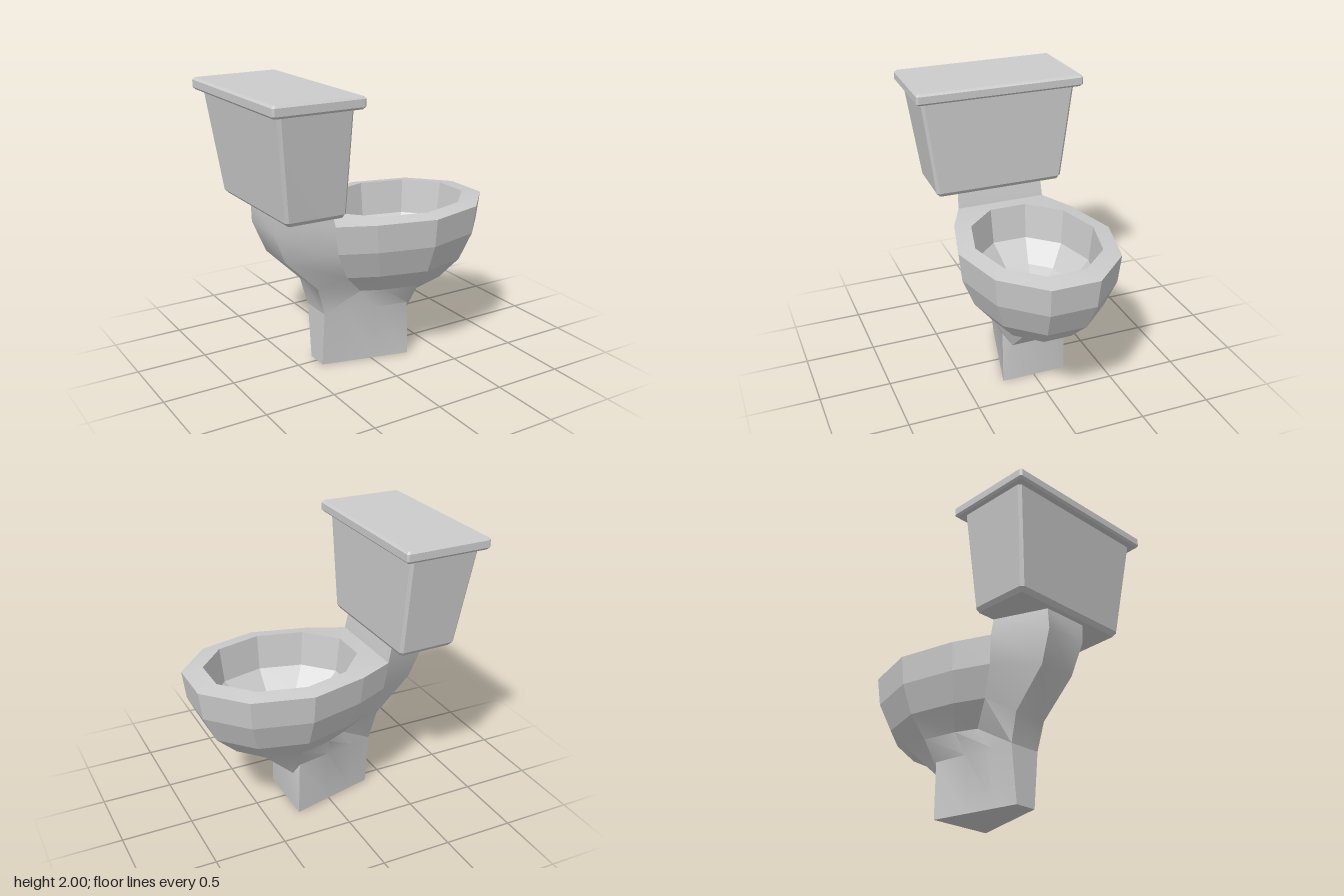
import * as THREE from 'three';
import { toCreasedNormals } from 'three/addons/utils/BufferGeometryUtils.js';

// Skin closed rings of points (rings go upward, points run from +x towards +z).
function skin(rings, crease = 0.15) {
  const pos = [];
  const v = (p) => new THREE.Vector3(...p);
  const tri = (a, b, c) => {
    const area = v(b).sub(v(a)).cross(v(c).sub(v(a))).length();
    if (area > 1e-7) pos.push(...a, ...b, ...c);
  };
  for (let i = 0; i < rings.length - 1; i++) {
    const n = rings[i].length;
    for (let j = 0; j < n; j++) {
      const k = (j + 1) % n;
      const a = rings[i][j], b = rings[i][k], c = rings[i + 1][k], d = rings[i + 1][j];
      tri(a, d, c);
      tri(a, c, b);
    }
  }
  const g = new THREE.BufferGeometry();
  g.setAttribute('position', new THREE.Float32BufferAttribute(pos, 3));
  return toCreasedNormals(g, crease);
}

const mirrorZ = (half) => [...half, ...half.map(([x, y, z]) => [x, y, -z]).reverse()];
const collapse = (ring, p) => ring.map(() => p);

// Ten-sided oval; the two rear corners are spread to meet the neck.
const CX = 0.285, RX = 0.694, RZ = 0.545;
function bowlPoint(j, y, f, spread = 1) {
  const a = THREE.MathUtils.degToRad(18 + 36 * j);
  const wide = j === 4 || j === 5 ? spread : 1;
  return [CX + RX * f * Math.cos(a), y, RZ * f * Math.sin(a) * wide];
}
const bowlRing = (y, f, spread) =>
  Array.from({ length: 10 }, (_, j) => bowlPoint(j, y, f, spread));

const REAR = 1.93;
const OUTER = [[0.55, 0.59], [0.7, 0.818], [0.9, 0.962], [1.1, 1]];
const INNER = [[1.12, 0.785], [0.87, 0.735], [0.73, 0.51], [0.66, 0.27], [0.64, 0]];

function bowlGeometry() {
  // lowest ring sweeps up towards the front
  const lift = { 0: 0.45, 9: 0.45, 1: 0.44, 8: 0.44 };
  const low = bowlRing(0.3, 0.31).map(([x, y, z], j) => [x, lift[j] ?? y, z]);
  return skin([
    collapse(low, [CX, 0.3, 0]),
    low,
    ...OUTER.map(([y, f]) => bowlRing(y, f, REAR)),
    ...INNER.map(([y, f]) => bowlRing(y, f)),
  ]);
}

// Foot: wedge-shaped block that flares into the underside of the bowl.
function footGeometry() {
  const tip = [CX, 0.3, 0.17];
  const edge = (front, back) => [0, 0.4, 0.75, 1].map((t) =>
    front.map((c, i) => c + (back[i] - c) * t));
  const bottom = edge([0.27, 0, 0.235], [-0.35, 0, 0.08]);
  const waist = edge([0.26, 0.4, 0.235], [-0.35, 0.4, 0.12]);
  const flare = [2, 3, 4].map((j) => bowlPoint(j, 0.55, 0.59, REAR));
  flare.push(waist[3]);
  const base = mirrorZ([bottom[0], ...bottom]);
  return skin([
    collapse(base, [0, 0, 0]),
    base,
    ...[bottom, waist, flare].map((r) => mirrorZ([tip, ...r])),
  ], 0.45);
}

// Neck: joins the rear of the bowl to the underside of the tank.
function neckGeometry() {
  const back = [[-0.35, 0.4, 0.12], [-0.405, 0.6, 0.13], [-0.655, 0.85, 0.14],
    [-0.745, 1.07, 0.16], [-0.745, 1.22, 0.17]];
  const front = OUTER.map(([y, f]) => bowlPoint(4, y, f, REAR));
  front.push([-0.4, 1.22, 0.32]);
  const rings = back.map((b, i) => mirrorZ([front[i], b]));
  return skin([...rings, collapse(rings[0], [-0.57, 1.22, 0])], 0.6);
}

// Rectangle with chamfered corners, slightly narrower at the back.
function boxRing(y, x0, x1, z, c) {
  const zb = z - 0.01;
  const half = [[x1, y, z - c], [x1 - c, y, z], [x0 + c, y, zb], [x0, y, zb - c]];
  return mirrorZ(half);
}
function boxSkin(rows) {
  const rings = rows.map((r) => boxRing(...r));
  const cap = (r) => collapse(r, [(r[0][0] + r[3][0]) / 2, r[0][1], 0]);
  return skin([cap(rings[0]), ...rings, cap(rings[rings.length - 1])]);
}

export function createModel() {
  const group = new THREE.Group();
  const material = new THREE.MeshStandardMaterial({ color: 0xcccccc });
  const add = (name, geometry) => {
    const mesh = new THREE.Mesh(geometry, material);
    mesh.name = name;
    group.add(mesh);
  };

  add('bowl', bowlGeometry());
  add('foot', footGeometry());
  add('neck', neckGeometry());

  // y, back x, front x, half width, chamfer
  add('tank', boxSkin([
    [1.207, -0.78, -0.395, 0.455, 0.01],
    [1.235, -0.808, -0.377, 0.477, 0.02],
    [1.93, -0.89, -0.372, 0.567, 0.02],
  ]));
  add('tankLid', boxSkin([
    [1.92, -0.93, -0.33, 0.597, 0.01],
    [1.935, -0.945, -0.315, 0.61, 0.012],
    [1.985, -0.945, -0.315, 0.61, 0.012],
    [2.0, -0.93, -0.33, 0.597, 0.01],
  ]));
  return group;
}
